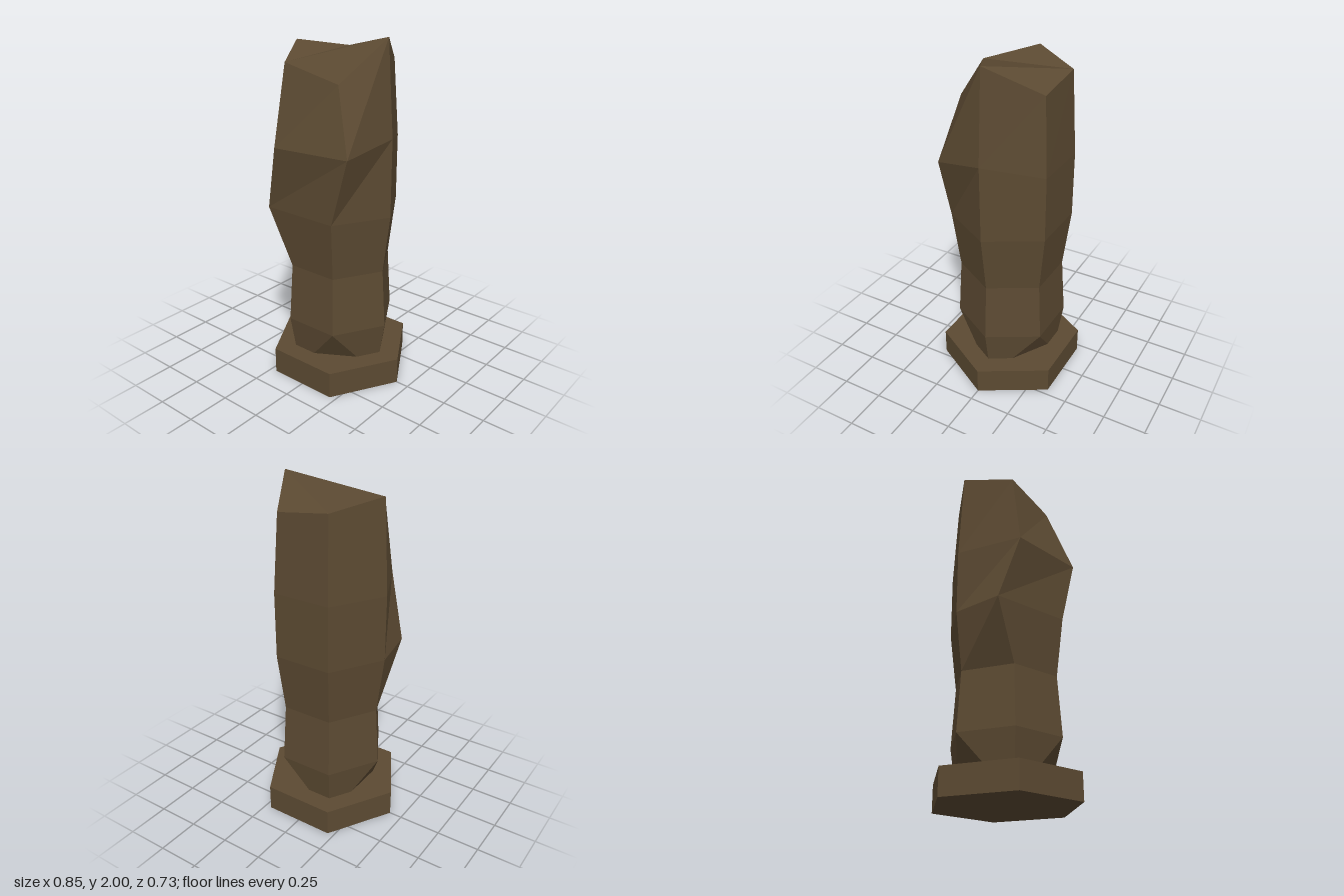
import * as THREE from 'three';

const SIDES = 6;
const BASE_HEIGHT = 0.155;

// Regular ring of corners; corner 0 is at +x, corner 1 towards the front left
function ring(radius, y) {
  return Array.from({ length: SIDES }, (_, i) => {
    const a = (i * Math.PI) / 3;
    return new THREE.Vector3(radius * Math.cos(a), y, radius * Math.sin(a));
  });
}

function columnGeometry() {
  const foot = ring(0.295, BASE_HEIGHT);
  const rings = [ring(0.325, 0.345), ring(0.303, 0.69), ring(0.347, 1.03), ring(0.348, 1.41), ring(0.315, 1.85)];

  // Bulges and hollows in the front of the column
  rings[2][2].set(-0.29, 1.03, 0.298);
  rings[3][0].y = 1.475;
  rings[3][1].set(0.28, 1.41, 0.298);
  rings[3][2].set(-0.178, 1.41, 0.353);

  // Slanted, broken top
  const top = rings[4];
  top[0].set(0.31, 2, 0);
  top[1].set(0.155, 1.77, 0.215);
  top[2].set(-0.162, 1.86, 0.27);
  top[3].set(-0.32, 1.94, 0);
  top[4].set(-0.162, 1.89, -0.276);
  top[5].set(0.155, 1.85, -0.276);

  const points = [];
  const tri = (...corners) => points.push(...corners);

  // Foot: every second corner is chipped away between the side midpoints
  const mids = foot.map((p, i) => p.clone().lerp(foot[(i + 1) % SIDES], 0.5));
  const chipped = (i) => i % 2 === 1;
  for (let i = 0; i < SIDES; i++) {
    const j = (i + 1) % SIDES;
    const m = mids[i];
    const b = rings[0];
    tri(m, b[i], b[j]);
    if (chipped(i)) tri(m, mids[(i + SIDES - 1) % SIDES], b[i]);
    else tri(m, foot[i], b[i]);
    if (!chipped(j)) tri(m, b[j], foot[j]);
  }

  // Sides between neighbouring rings
  for (let k = 0; k < rings.length - 1; k++) {
    const a = rings[k];
    const b = rings[k + 1];
    for (let i = 0; i < SIDES; i++) {
      const j = (i + 1) % SIDES;
      tri(a[j], a[i], b[i]);
      tri(a[j], b[i], b[j]);
    }
  }

  // Facets of the top
  for (const f of [[4, 3, 2], [0, 5, 4], [0, 4, 2], [0, 2, 1]]) tri(...f.map((i) => top[i]));

  const geometry = new THREE.BufferGeometry().setFromPoints(points);
  geometry.computeVertexNormals();
  return geometry;
}

export function createModel() {
  const group = new THREE.Group();
  group.name = 'stonePillar';
  const material = new THREE.MeshStandardMaterial({ color: 0x5c4a32, flatShading: true });

  // Hexagonal plinth with corners on the x axis
  const base = new THREE.Mesh(
    new THREE.CylinderGeometry(0.424, 0.424, BASE_HEIGHT, SIDES, 1, false, Math.PI / 2),
    material
  );
  base.position.y = BASE_HEIGHT / 2;
  base.name = 'base';

  const column = new THREE.Mesh(columnGeometry(), material);
  column.name = 'column';

  group.add(base, column);
  return group;
}
